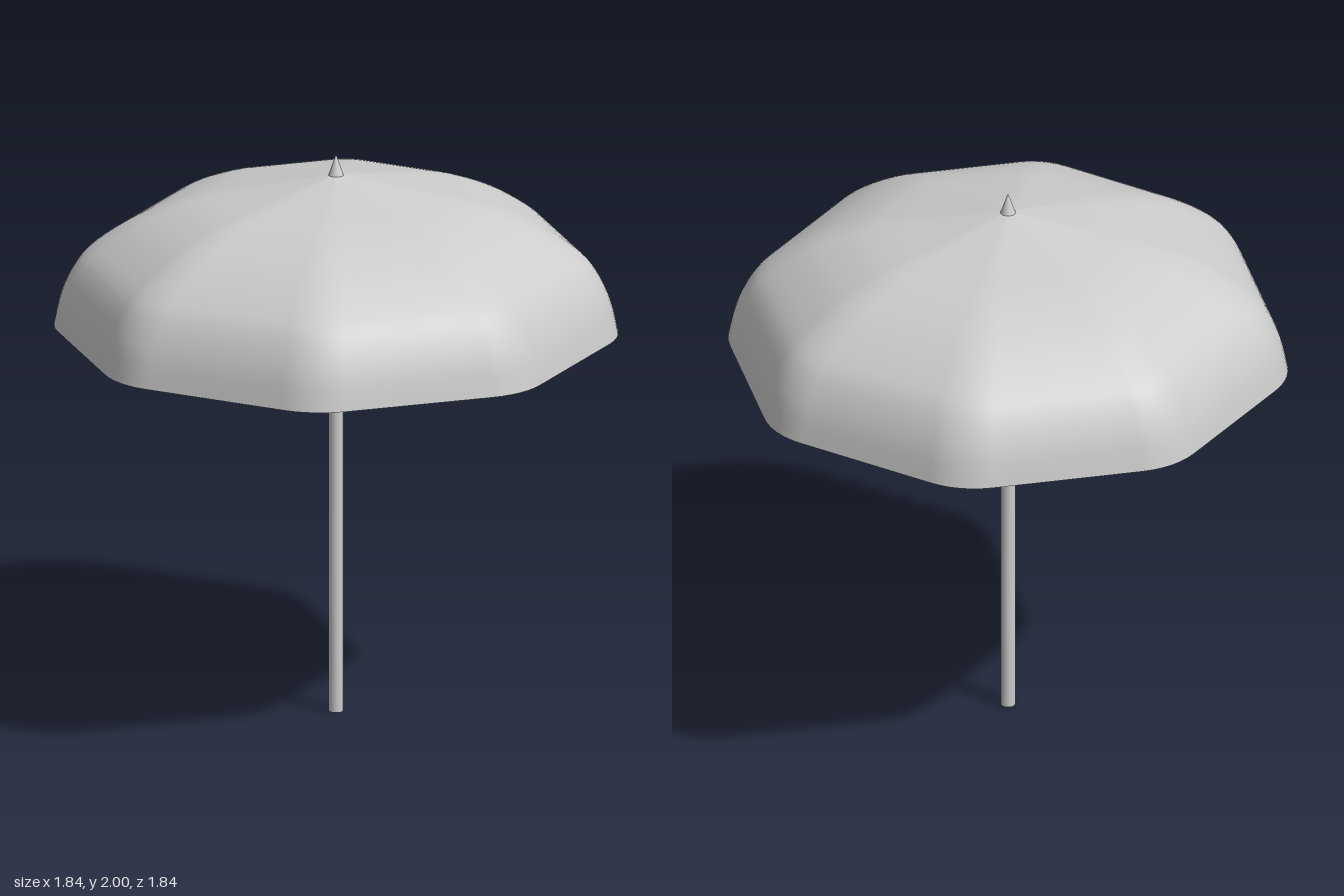
import * as THREE from 'three';

const SIDES = 8;
const CORNER_STEPS = 6;
const CORNER_RADIUS = 0.28;
const RIM = 0.92; // distance from the axis to each flat side

// Octagon outline with rounded corners, as [x, z] pairs
function roundedOctagon() {
  const points = [];
  const half = Math.PI / SIDES;
  const centre = (RIM - CORNER_RADIUS) / Math.cos(half);
  for (let k = 0; k < SIDES; k++) {
    const corner = (2 * k + 1) * half;
    for (let s = 0; s <= CORNER_STEPS; s++) {
      const a = corner - half + (2 * half * s) / CORNER_STEPS;
      points.push([
        centre * Math.cos(corner) + CORNER_RADIUS * Math.cos(a),
        centre * Math.sin(corner) + CORNER_RADIUS * Math.sin(a),
      ]);
    }
  }
  return points;
}

// Outline scaled along a domed profile up to a single apex point
function canopyGeometry() {
  const profile = new THREE.SplineCurve([
    [0.92, 1.376], [0.895, 1.49], [0.85, 1.59], [0.79, 1.66], [0.67, 1.745],
    [0.56, 1.8], [0.44, 1.842], [0.22, 1.89], [0, 1.935],
  ].map(([r, y]) => new THREE.Vector2(r, y))).getPoints(32);
  const outline = roundedOctagon();
  const n = outline.length;
  const apexRing = profile.length - 1;
  const positions = [];
  const index = [];

  for (let i = 0; i < apexRing; i++) {
    const scale = profile[i].x / RIM;
    for (const [x, z] of outline) positions.push(x * scale, profile[i].y, z * scale);
  }
  positions.push(0, profile[apexRing].y, 0);

  for (let i = 0; i < apexRing; i++) {
    for (let j = 0; j < n; j++) {
      const a = i * n + j;
      const b = i * n + ((j + 1) % n);
      if (i === apexRing - 1) index.push(a, apexRing * n, b);
      else index.push(a, a + n, b, b, a + n, b + n);
    }
  }

  const geometry = new THREE.BufferGeometry();
  geometry.setAttribute('position', new THREE.Float32BufferAttribute(positions, 3));
  geometry.setIndex(index);
  geometry.computeVertexNormals();
  return geometry;
}

export function createModel() {
  const grey = new THREE.MeshStandardMaterial({ color: 0xcccccc });
  grey.name = 'grey';
  grey.side = THREE.DoubleSide;

  const group = new THREE.Group();
  group.name = 'parasol';
  const add = (name, geometry, y) => {
    const mesh = new THREE.Mesh(geometry, grey);
    mesh.name = name;
    mesh.position.y = y;
    group.add(mesh);
  };

  add('canopy', canopyGeometry(), 0);
  // Pole from the ground to just under the apex
  add('pole', new THREE.CylinderGeometry(0.025, 0.025, 1.925, 24), 0.9625);
  // Pointed tip on top of the canopy
  add('finial', new THREE.CylinderGeometry(0.002, 0.026, 0.07, 24), 1.965);

  return group;
}
